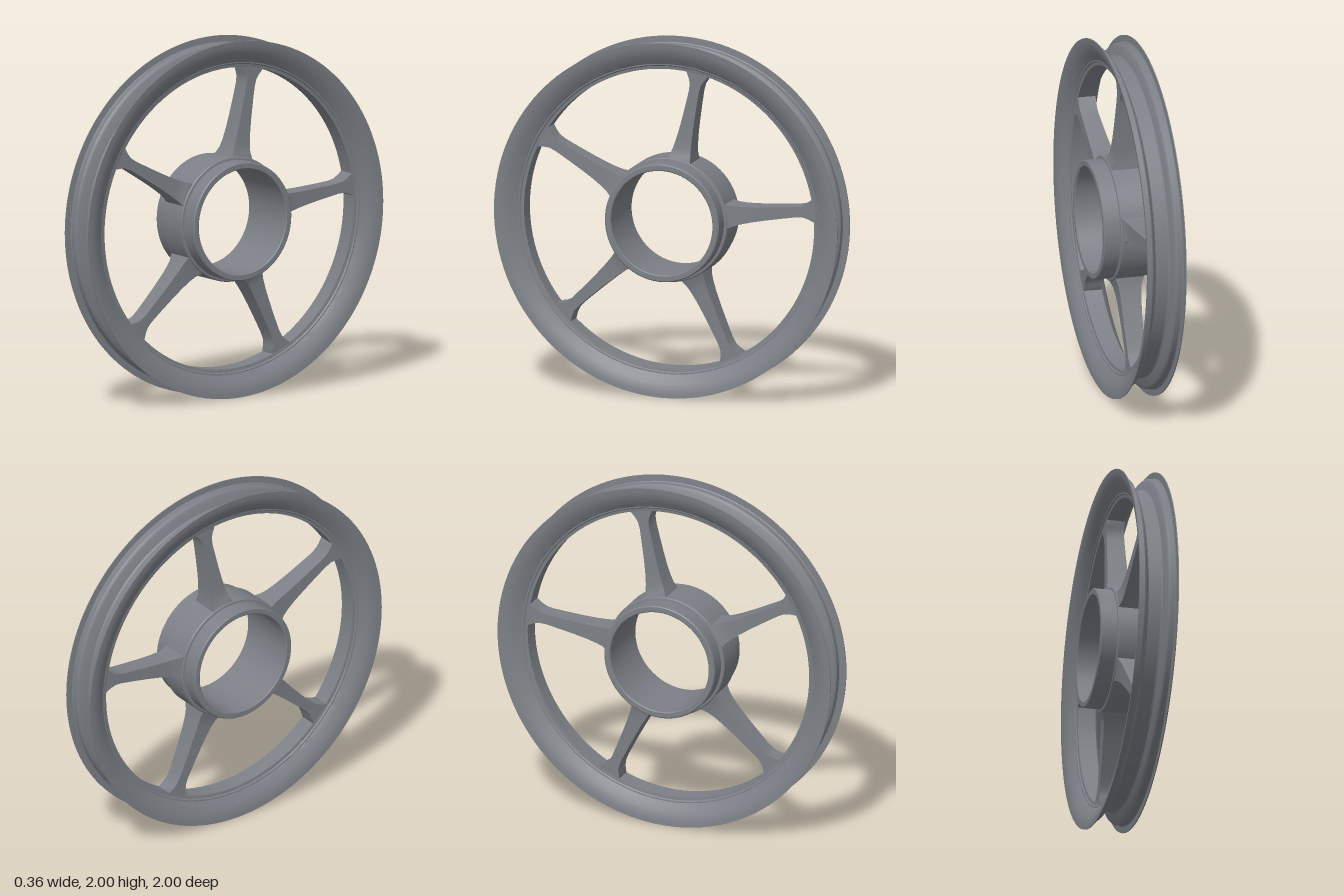
import * as THREE from 'three';
import { toCreasedNormals } from 'three/addons/utils/BufferGeometryUtils.js';

const SPOKES = 5;
const FIRST_SPOKE = THREE.MathUtils.degToRad(78.8);

// Ring around the x axis from half a profile [radius, x], mirrored across x = 0
function ring(name, half, material) {
  const mirrored = half.map(([r, x]) => [r, -x]).reverse();
  const loop = [...half, ...mirrored, half[0]];
  const points = loop.map(([r, x]) => new THREE.Vector2(r, x));
  const geometry = toCreasedNormals(new THREE.LatheGeometry(points, 128), 0.5);
  const mesh = new THREE.Mesh(geometry, material);
  mesh.name = name;
  mesh.rotation.z = -Math.PI / 2;
  return mesh;
}

// Spoke along +y: rectangular sections [distance, half width, half depth]
function spokeGeometry() {
  const sections = [
    [0.32, 0.072, 0.085], [0.35, 0.066, 0.08], [0.38, 0.057, 0.068], [0.42, 0.05, 0.062],
    [0.48, 0.043, 0.058], [0.56, 0.037, 0.055], [0.66, 0.032, 0.052], [0.74, 0.029, 0.05],
    [0.78, 0.032, 0.05], [0.81, 0.044, 0.05], [0.845, 0.066, 0.05], [0.865, 0.066, 0.05],
  ];
  const positions = [];
  const index = [];
  for (const [y, w, d] of sections) {
    positions.push(d, y, w, d, y, -w, -d, y, -w, -d, y, w);
  }
  for (let i = 0; i < sections.length - 1; i++) {
    for (let j = 0; j < 4; j++) {
      const a = i * 4 + j;
      const b = i * 4 + (j + 1) % 4;
      index.push(a, b, b + 4, a, b + 4, a + 4);
    }
  }
  const geometry = new THREE.BufferGeometry();
  geometry.setAttribute('position', new THREE.Float32BufferAttribute(positions, 3));
  geometry.setIndex(index);
  return toCreasedNormals(geometry, 0.6);
}

export function createModel() {
  const metal = new THREE.MeshStandardMaterial({ color: 0x7c8086 });
  metal.name = 'grey metal';

  const wheel = new THREE.Group();
  wheel.name = 'wheel';
  wheel.position.y = 1;

  // Rim: central channel, bead seats, thin flanges and dished sides
  wheel.add(ring('rim', [
    [0.89, 0.035], [0.897, 0.043], [0.945, 0.058], [0.955, 0.064], [0.96, 0.072],
    [0.96, 0.1], [0.965, 0.104], [1, 0.106], [1, 0.111],
    [0.975, 0.109], [0.95, 0.103], [0.925, 0.092], [0.9, 0.077], [0.875, 0.06],
    [0.868, 0.06], [0.862, 0.053], [0.845, 0.05],
  ], metal));

  // Hub: open sleeve with a raised middle band
  wheel.add(ring('hub', [
    [0.35, 0.08], [0.345, 0.086], [0.332, 0.088], [0.332, 0.174],
    [0.326, 0.18], [0.3, 0.18], [0.295, 0.175],
  ], metal));

  // Five waisted spokes
  const geometry = spokeGeometry();
  for (let i = 0; i < SPOKES; i++) {
    const angle = FIRST_SPOKE + (i * Math.PI * 2) / SPOKES;
    const spoke = new THREE.Mesh(geometry, metal);
    spoke.name = `spoke${i + 1}`;
    spoke.rotation.x = angle - Math.PI / 2;
    wheel.add(spoke);
  }

  const model = new THREE.Group();
  model.name = 'spokedWheel';
  model.add(wheel);
  return model;
}
